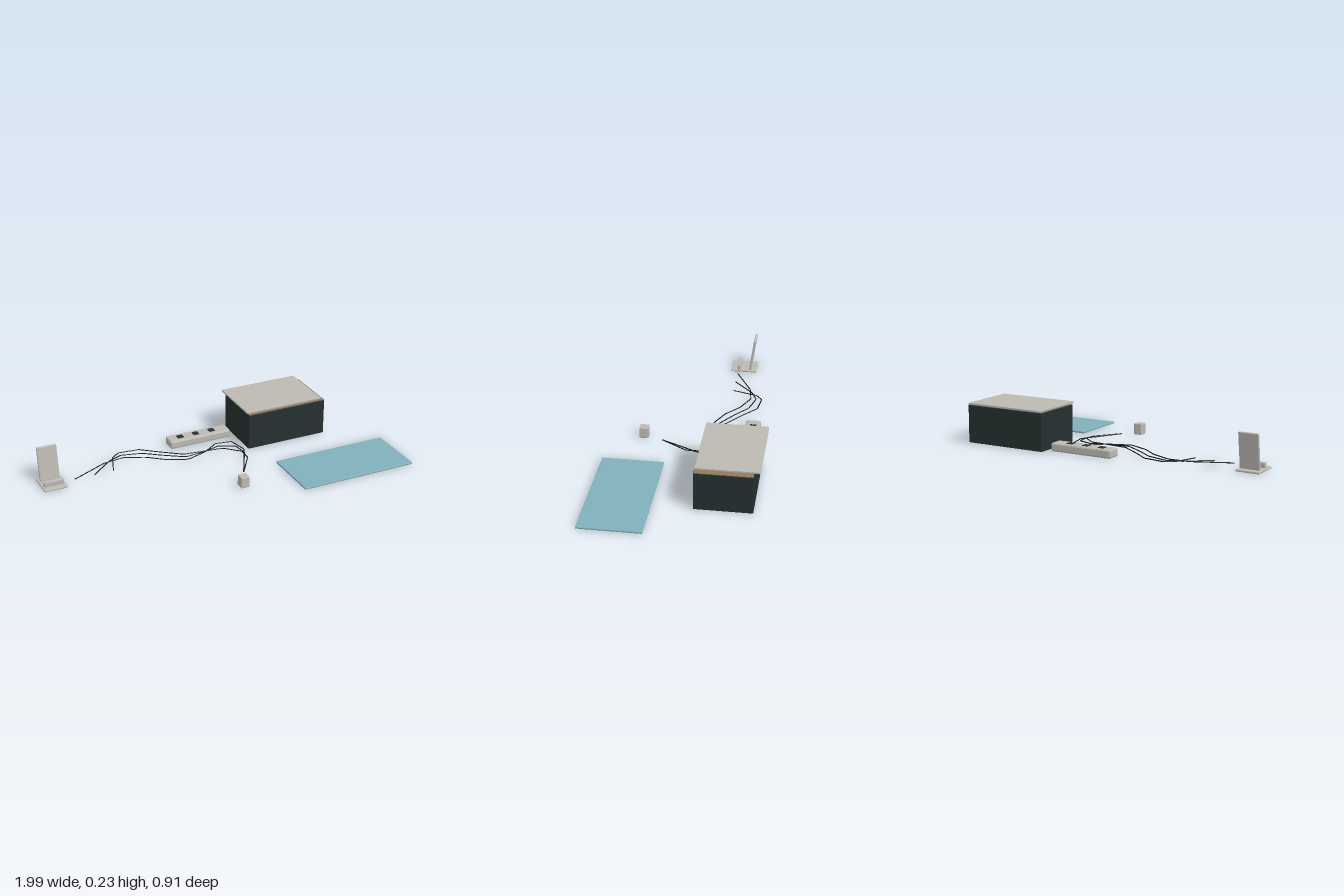
import * as THREE from 'three';
import { RoundedBoxGeometry } from 'three/addons/geometries/RoundedBoxGeometry.js';

const paint = (name, color) => {
  const m = new THREE.MeshStandardMaterial({ color });
  m.name = name;
  return m;
};

export function createModel() {
  const root = new THREE.Group();
  const grey = paint('warm grey', 0xbcb9b2);
  const dark = paint('dark slate', 0x243030);
  const teal = paint('dusty teal', 0x80b0bb);
  const brown = paint('cardboard brown', 0x957a5b);
  const black = paint('cable black', 0x101414);

  // Box with chamfered edges, given by its lower and upper corner
  function block(name, material, min, max, bevel, parent = root) {
    const s = max.map((v, i) => v - min[i]);
    const geometry = new RoundedBoxGeometry(s[0], s[1], s[2], 1, bevel);
    geometry.computeVertexNormals();
    const mesh = new THREE.Mesh(geometry, material);
    mesh.name = name;
    mesh.position.set(...max.map((v, i) => (v + min[i]) / 2));
    parent.add(mesh);
    return mesh;
  }

  // Storage box, its inner layer and the shifted lid
  block('storageBox', dark, [0.235, 0, -0.425], [0.73, 0.215, -0.112], 0.003);
  block('boxLiner', brown, [0.238, 0.212, -0.422], [0.727, 0.219, -0.115], 0.001);
  block('boxLid', grey, [0.225, 0.224, -0.456], [0.705, 0.235, -0.115], 0.002);

  // Flat mat
  block('mat', teal, [0.3, 0, 0.107], [0.993, 0.012, 0.452], 0.004);

  // Power strip with three sockets
  const strip = new THREE.Group();
  strip.name = 'powerStrip';
  root.add(strip);
  block('stripBody', grey, [-0.175, 0, -0.381], [0.205, 0.048, -0.295], 0.009, strip);
  for (const x of [-0.1, 0, 0.1]) {
    block('socket', dark, [x - 0.018, 0.045, -0.357], [x + 0.018, 0.051, -0.321], 0.001, strip);
  }

  // Small charger cube
  block('chargerCube', grey, [-0.01, 0, 0.24], [0.04, 0.065, 0.291], 0.004);

  // Device stand: base, front lip and leaning back rest
  const stand = new THREE.Group();
  stand.name = 'deviceStand';
  root.add(stand);
  block('standBase', grey, [-1, 0, -0.285], [-0.865, 0.012, -0.13], 0.004, stand);
  block('standLip', grey, [-0.988, 0.01, -0.185], [-0.874, 0.04, -0.165], 0.004, stand);
  const rest = block('standBack', grey, [-0.988, 0.008, -0.265], [-0.874, 0.21, -0.251], 0.004, stand);
  rest.rotation.x = -0.14;

  // Three loose cables lying on the ground, as [x, z] corners
  const cables = [
    [[-0.58, -0.175], [-0.53, -0.32], [-0.48, -0.355], [-0.36, -0.34], [-0.27, -0.265], [-0.15, -0.175],
      [-0.02, -0.158], [0.085, -0.148], [0.17, -0.07], [0.17, 0.005], [0.07, 0.155]],
    [[-0.695, -0.175], [-0.56, -0.29], [-0.48, -0.322], [-0.36, -0.29], [-0.27, -0.22], [-0.15, -0.14],
      [-0.02, -0.155], [0.075, -0.185], [0.165, -0.145], [0.18, -0.055], [0.07, 0.155]],
    [[-0.81, -0.175], [-0.6, -0.275], [-0.48, -0.29], [-0.36, -0.237], [-0.27, -0.162], [-0.15, -0.107],
      [-0.02, -0.152], [0.07, -0.218], [0.168, -0.205], [0.195, -0.09], [0.07, 0.155]],
  ];
  for (const corners of cables) {
    const last = corners.length - 1;
    const points = corners.map(([x, z], i) =>
      new THREE.Vector3(x, 0.016 + 0.007 * Math.sin((Math.PI * i) / last), z));
    // Zero tension keeps the runs between corners straight
    const path = new THREE.CatmullRomCurve3(points, false, 'catmullrom', 0);
    const cable = new THREE.Mesh(new THREE.TubeGeometry(path, 90, 0.003, 6), black);
    cable.name = 'cable';
    root.add(cable);
  }
  return root;
}
